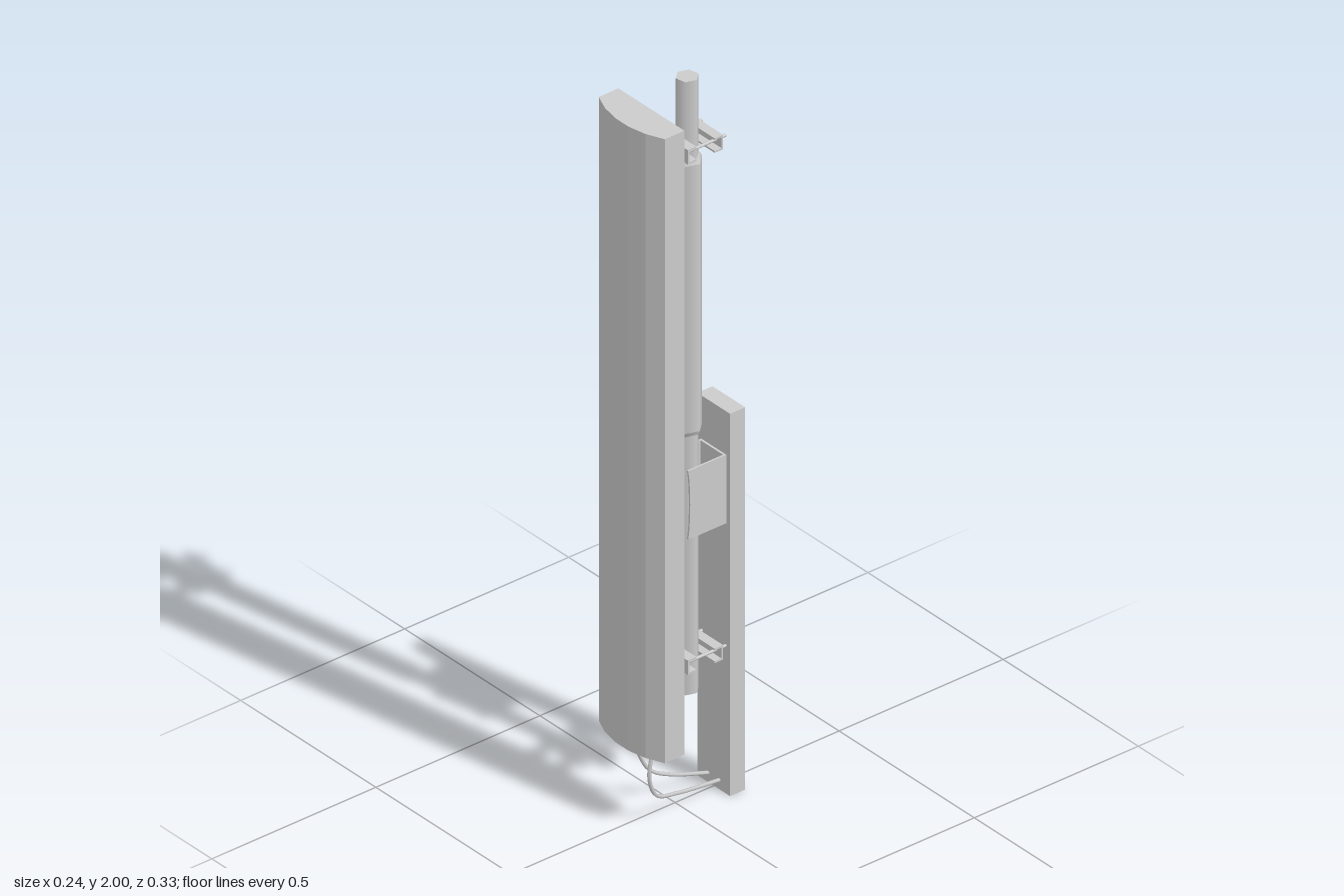
import * as THREE from 'three';

const material = new THREE.MeshStandardMaterial({ color: 0xcccccc, side: THREE.DoubleSide });
const POLE_Z = -0.037;

function add(parent, name, geometry, x = 0, y = 0, z = 0) {
  const mesh = new THREE.Mesh(geometry, material);
  mesh.name = name;
  mesh.position.set(x, y, z);
  parent.add(mesh);
  return mesh;
}

const box = (w, h, d) => new THREE.BoxGeometry(w, h, d);

// Closed outline from [a, b] pairs
const outline = (pts) => new THREE.Shape(pts.map(([a, b]) => new THREE.Vector2(a, b)));

// Outline given as (z, y), extruded along x and centred on x = 0
function extrudeAlongX(shape, width) {
  const g = new THREE.ExtrudeGeometry(shape, { depth: width, bevelEnabled: false, curveSegments: 6 });
  g.translate(0, 0, -width / 2);
  g.rotateY(-Math.PI / 2);
  // local x (outline) now points to +z, depth runs along x
  return g;
}

// Six-sided tube section
function hexTube(rBottom, rTop, y0, y1) {
  const g = new THREE.CylinderGeometry(rTop, rBottom, y1 - y0, 6);
  g.rotateY(THREE.MathUtils.degToRad(42));
  g.translate(0, (y0 + y1) / 2, 0);
  return g;
}

// Clamp holding the panel to the pole
function createClamp(y) {
  const clamp = new THREE.Group();
  clamp.name = 'clamp';
  clamp.position.y = y;

  // Channel bars in front of and behind the pole, open towards it
  const h = 0.02, d = 0.013, t = 0.005;
  const channel = outline([
    [d, -h], [d, h], [-d, h], [-d, h - t], [d - t, h - t], [d - t, -h + t], [-d, -h + t], [-d, -h],
  ]);
  add(clamp, 'frontClampBar', extrudeAlongX(channel, 0.128), 0, 0, 0.001);
  add(clamp, 'rearClampBar', extrudeAlongX(channel, 0.128), 0, 0, -0.081).rotation.y = Math.PI;

  // Base plate and stepped arms reaching to the panel
  add(clamp, 'mountPlate', box(0.096, 0.056, 0.006), 0, 0, 0.07);
  const arm = outline([
    [0.073, -0.028], [0.073, 0.028], [0.042, 0.028], [0.038, 0.016],
    [0.01, 0.016], [0.01, -0.016], [0.038, -0.016], [0.042, -0.028],
  ]);
  for (const side of [-1, 1]) {
    add(clamp, 'mountArm', extrudeAlongX(arm, 0.006), side * 0.042);
    const rod = new THREE.CylinderGeometry(0.004, 0.004, 0.153, 8).rotateX(Math.PI / 2);
    add(clamp, 'clampRod', rod, side * 0.044, 0, -0.0415);
  }
  return clamp;
}

// Channel bracket holding the equipment box to the pole
function createBoxBracket() {
  const bracket = new THREE.Group();
  bracket.name = 'boxBracket';
  const side = new THREE.Shape();
  side.moveTo(-0.118, 0.75);
  side.lineTo(-0.002, 0.75);
  side.bezierCurveTo(-0.01, 0.79, -0.01, 0.9, -0.002, 0.94);
  side.lineTo(-0.118, 0.94);
  side.closePath();
  for (const s of [-1, 1]) add(bracket, 'bracketSide', extrudeAlongX(side, 0.005), s * 0.044);
  add(bracket, 'bracketBack', box(0.093, 0.19, 0.006), 0, 0.845, -0.115);
  return bracket;
}

export function createModel() {
  const model = new THREE.Group();
  model.name = 'panelAntenna';

  // Faceted, bowed front panel
  const half = [[0.122, 0.132], [0.075, 0.152], [0.025, 0.162]];
  const mirrored = half.map(([x, z]) => [-x, z]).reverse();
  const section = outline(
    [[-0.122, 0.072], [0.122, 0.072], ...half, ...mirrored].map(([x, z]) => [x, -z]));
  const panel = new THREE.ExtrudeGeometry(section, { depth: 1.73, bevelEnabled: false });
  panel.rotateX(-Math.PI / 2);
  add(model, 'antennaPanel', panel, 0, 0.22, 0);

  // Pole with a thicker sleeve, chamfered at both ends
  add(model, 'pole', hexTube(0.029, 0.029, 0.3, 2), 0, 0, POLE_Z);
  add(model, 'sleeve', hexTube(0.038, 0.038, 1.03, 1.77), 0, 0, POLE_Z);
  add(model, 'sleeveEnd', hexTube(0.033, 0.038, 1.018, 1.03), 0, 0, POLE_Z);
  add(model, 'sleeveEnd', hexTube(0.038, 0.033, 1.77, 1.782), 0, 0, POLE_Z);

  for (const y of [0.41, 1.825]) model.add(createClamp(y));

  // Equipment box behind the pole
  add(model, 'equipmentBox', box(0.121, 1.06, 0.046), 0, 0.53, -0.141);
  model.add(createBoxBracket());

  // Cables from the panel to the foot of the box
  const cables = [
    [[0.047, 0.225, 0.103], [0.049, 0.14, 0.119], [0.046, 0.08, 0.095], [0.035, 0.052, 0.02], [0.02, 0.025, -0.122]],
    [[-0.045, 0.225, 0.1], [-0.047, 0.15, 0.075], [-0.044, 0.085, 0.04], [-0.036, 0.055, -0.015], [-0.02, 0.025, -0.122]],
  ];
  for (const pts of cables) {
    const path = new THREE.CatmullRomCurve3(pts.map((p) => new THREE.Vector3(...p)));
    add(model, 'cable', new THREE.TubeGeometry(path, 24, 0.005, 6));
  }
  return model;
}
